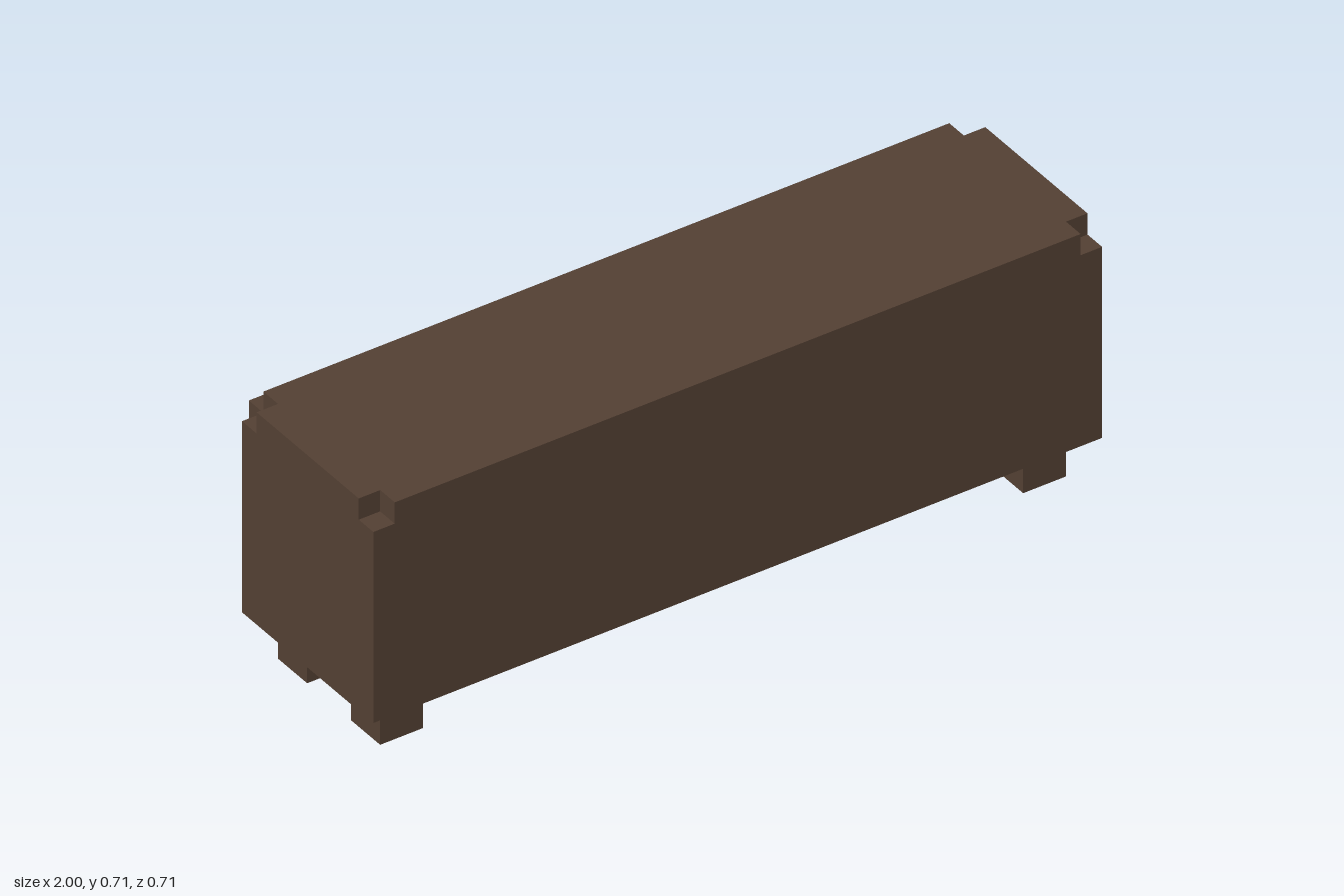
import * as THREE from 'three';

const U = 2 / 34; // one block of the grid: 34 wide, 12 high, 12 deep

export function createModel() {
  const wood = new THREE.MeshStandardMaterial({ color: 0x523f32 });
  wood.name = 'dark wood';
  const black = new THREE.MeshStandardMaterial({ color: 0x2c2c2c });
  black.name = 'black slime';

  const root = new THREE.Group();
  root.name = 'sideboard';

  const addGroup = (name) => {
    const g = new THREE.Group();
    g.name = name;
    root.add(g);
    return g;
  };

  // Box between two corners given in grid blocks
  const block = (parent, name, mat, [x0, y0, z0], [x1, y1, z1]) => {
    const geo = new THREE.BoxGeometry((x1 - x0) * U, (y1 - y0) * U, (z1 - z0) * U);
    const mesh = new THREE.Mesh(geo, mat);
    mesh.position.set(((x0 + x1) / 2 - 17) * U, ((y0 + y1) / 2) * U, ((z0 + z1) / 2 - 6) * U);
    mesh.name = name;
    parent.add(mesh);
    return mesh;
  };

  // Cabinet shell, open to the back
  const cabinet = addGroup('cabinet');
  block(cabinet, 'floor', wood, [0, 2, 3], [34, 3, 12]);
  block(cabinet, 'frontWall', wood, [0, 3, 11], [34, 11, 12]);
  for (const x of [0, 11, 22, 33]) {
    block(cabinet, x % 33 ? 'divider' : 'endWall', wood, [x, 3, 3], [x + 1, 11, 11]);
  }

  // Top slab with a block missing at each corner
  const outline = [
    [1, 3], [33, 3], [33, 4], [34, 4], [34, 11], [33, 11],
    [33, 12], [1, 12], [1, 11], [0, 11], [0, 4], [1, 4],
  ].map(([x, z]) => new THREE.Vector2((x - 17) * U, -(z - 6) * U));
  const topGeo = new THREE.ExtrudeGeometry(new THREE.Shape(outline), { depth: U, bevelEnabled: false });
  topGeo.rotateX(-Math.PI / 2);
  const top = new THREE.Mesh(topGeo, wood);
  top.position.y = 11 * U;
  top.name = 'top';
  cabinet.add(top);

  // Legs
  const legs = addGroup('legs');
  for (const x of [1, 31]) {
    for (const z of [4, 9]) block(legs, 'leg', wood, [x, 0, z], [x + 2, 2, z + 2]);
  }

  // Closed door, set back in its frame, and the panel behind the loose door
  const closed = addGroup('closedDoor');
  block(closed, 'doorPanel', wood, [23, 3, 4], [33, 11, 5]);
  block(closed, 'doorKnob', wood, [24, 6, 3], [25, 8, 4]);
  block(cabinet, 'recessedPanel', wood, [1, 3, 4], [11, 11, 5]);

  // Loose door, sagging in steps: [x start, x end, bottom, top]
  const loose = addGroup('looseDoor');
  for (const [x0, x1, y0, y1] of [[1, 4, 3, 11], [4, 5, 3, 10], [5, 8, 2, 10], [8, 9, 2, 9], [9, 11, 1, 9]]) {
    block(loose, 'doorStep', wood, [x0, y0, 2], [x1, y1, 3]);
  }
  block(loose, 'looseKnob', wood, [9, 5, 1], [10, 7, 2]);

  // Black spill: pool inside the open bay, running over the edge and along the ground
  const spill = addGroup('spill');
  block(spill, 'poolBack', black, [13, 3, 7], [20, 4, 10]);
  block(spill, 'poolFront', black, [13, 3, 6], [18, 4, 7]);
  block(spill, 'poolCorner', black, [19, 3, 6], [20, 4, 7]);
  block(spill, 'stream', black, [20, 3, 3], [21, 4, 7]);
  block(spill, 'drip', black, [20, 0, 2], [21, 4, 3]);
  block(spill, 'trickle', black, [21, 0, 2], [22, 1, 3]);
  block(spill, 'trickle', black, [21, 0, 1], [24, 1, 2]);
  block(spill, 'trickleEnd', black, [23, 0, 0], [24, 1, 1]);
  block(cabinet, 'woodChip', wood, [18, 3, 6], [19, 4, 7]);

  return root;
}
